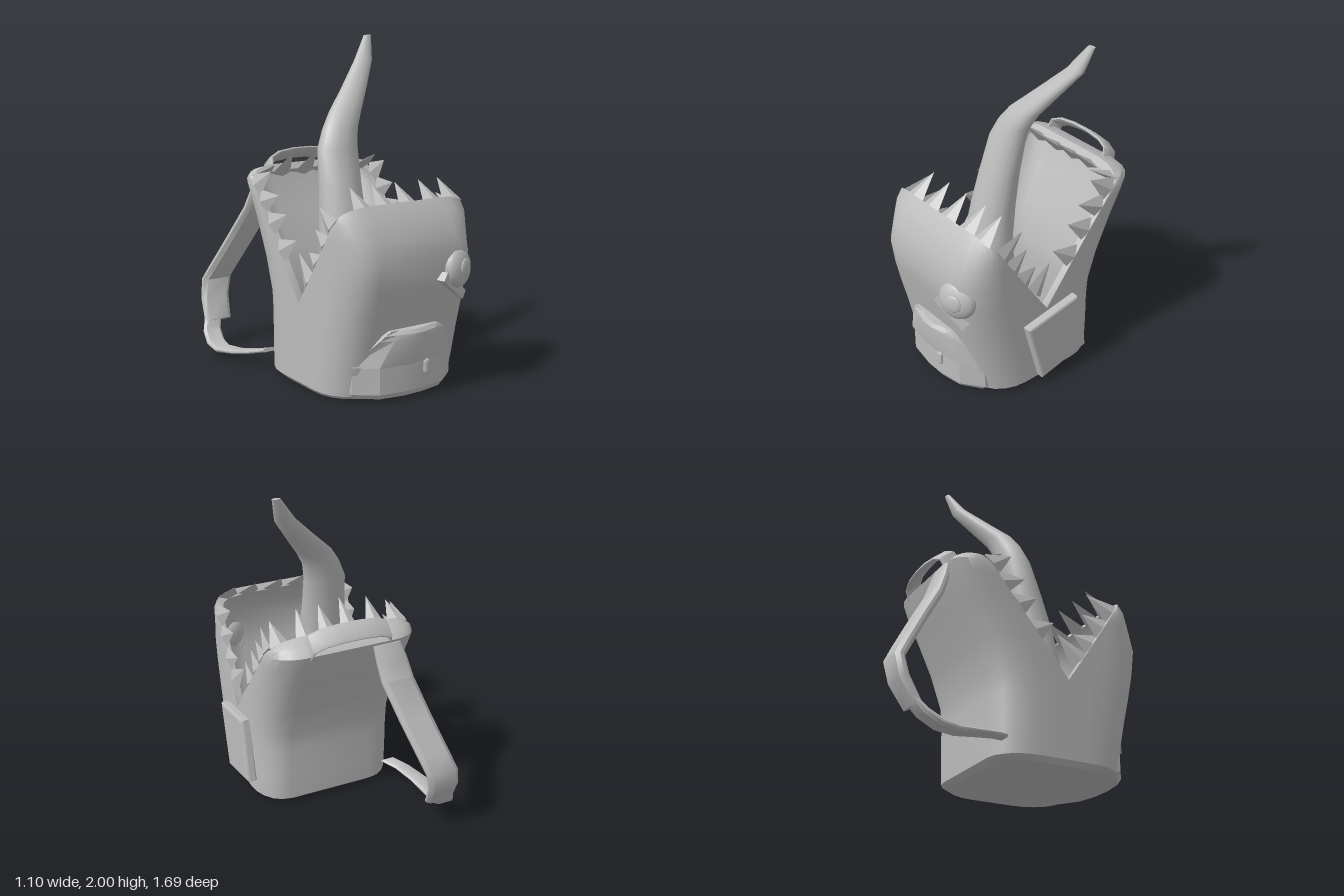
import * as THREE from 'three';
import { toCreasedNormals } from 'three/addons/utils/BufferGeometryUtils.js';

const V = (x, y, z) => new THREE.Vector3(x, y, z);
const CX = 0.05; // middle of the bag in x
const WALL = 0.045; // thickness of the bag

// Closed solid through rings of equal, even point count; ends closed by a zigzag strip.
function loft(rings, crease = 0.7) {
  const m = rings[0].length, pts = rings.flat(), idx = [];
  const quad = (a, b, c, d) => idx.push(a, b, c, a, c, d);
  for (let r = 0; r < rings.length - 1; r++)
    for (let i = 0; i < m; i++) {
      const j = (i + 1) % m;
      quad(r * m + i, r * m + j, (r + 1) * m + j, (r + 1) * m + i);
    }
  const e = (rings.length - 1) * m;
  for (let i = 0; i < m / 2 - 1; i++) {
    quad(m - 1 - i, m - 2 - i, i + 1, i);
    quad(e + i, e + i + 1, e + m - 2 - i, e + m - 1 - i);
  }
  // turn the faces outward
  let vol = 0;
  for (let i = 0; i < idx.length; i += 3)
    vol += pts[idx[i]].dot(pts[idx[i + 1]].clone().cross(pts[idx[i + 2]]));
  if (vol < 0) idx.reverse();
  const g = new THREE.BufferGeometry().setFromPoints(pts);
  g.setIndex(idx);
  return toCreasedNormals(g, crease);
}

// One level of a half shell: U-shaped wall from the split line (s) round the outer side (o).
function shellRing([sz, sy, oz, oy, hw]) {
  const path = (inset) => {
    const d = Math.hypot(oz - sz, oy - sy), w = Math.max(hw - inset, 0);
    const reach = d > 0 ? Math.max(1 - inset / d, 0.3) : 0;
    const rx = Math.min(0.18, w), rf = d > 0 ? Math.min(0.23 / d, 0.8) : 0;
    const half = [[w, 0], [w, (1 - rf) / 2]];
    for (let k = 0; k <= 5; k++) {
      const a = (k / 5) * Math.PI / 2;
      half.push([w - rx + rx * Math.cos(a), 1 - rf + rf * Math.sin(a)]);
    }
    const all = [...half, ...half.map(([x, f]) => [-x, f]).reverse()];
    return all.map(([x, f]) => {
      const y = sy + (oy - sy) * f * reach;
      return V(CX + x, inset ? Math.max(y, WALL) : y, sz + (oz - sz) * f * reach);
    });
  };
  return [...path(0), ...path(WALL).reverse()];
}

// Flat strap along points [x, y, z, width, thickness], widened along a fixed axis.
function strap(points, axis) {
  const p = points.map(([x, y, z]) => V(x, y, z));
  return loft(p.map((c, i) => {
    const t = p[Math.min(i + 1, p.length - 1)].clone().sub(p[Math.max(i - 1, 0)]);
    const n = t.cross(axis).normalize();
    const [, , , w, h] = points[i];
    // flattened six-sided section with thin edges
    return [[1, 0.3], [0.75, 1], [-0.75, 1], [-1, 0.3], [-1, -0.3], [-0.75, -1], [0.75, -1], [1, -0.3]].map(([a, b]) =>
      c.clone().addScaledVector(axis, a * w / 2).addScaledVector(n, b * h / 2));
  }));
}

export function createModel() {
  const model = new THREE.Group();
  const grey = new THREE.MeshStandardMaterial({ color: 0xbcbcbc });
  grey.name = 'plain grey';
  const add = (name, geo, parent = model) => {
    const mesh = new THREE.Mesh(geo, grey);
    mesh.name = name;
    parent.add(mesh);
    return mesh;
  };

  // Gaping bag: front jaw and back panel; levels are [split z, y, outer z, y, half width]
  const frontLevels = [
    [0.25, 0, 0.25, 0, 0], [0.25, 0, 0.6, 0, 0.42], [0.25, 0.03, 0.64, 0.03, 0.45],
    [0.25, 0.2, 0.68, 0.2, 0.45], [0.25, 0.36, 0.715, 0.36, 0.45], [0.25, 0.504, 0.75, 0.5, 0.45],
    [0.35, 0.65, 0.785, 0.66, 0.45], [0.45, 0.8, 0.805, 0.81, 0.45], [0.53, 0.92, 0.77, 0.93, 0.45],
    [0.58, 1.0, 0.72, 1.04, 0.45], [0.605, 1.035, 0.66, 1.114, 0.435]];
  const backLevels = [
    [0.25, 0, 0.25, 0, 0], [0.25, 0, -0.14, 0, 0.42], [0.25, 0.03, -0.175, 0.03, 0.45],
    [0.25, 0.2, -0.18, 0.2, 0.45], [0.25, 0.36, -0.18, 0.38, 0.45], [0.25, 0.504, -0.19, 0.5, 0.45],
    [0.08, 0.72, -0.26, 0.7, 0.45], [-0.08, 0.92, -0.365, 0.93, 0.45], [-0.19, 1.05, -0.43, 1.08, 0.45],
    [-0.24, 1.115, -0.455, 1.157, 0.45], [-0.265, 1.145, -0.41, 1.2, 0.44], [-0.27, 1.15, -0.32, 1.225, 0.42]];
  add('frontJaw', loft(frontLevels.map(shellRing)));
  add('backPanel', loft(backLevels.map(shellRing)));

  // Tongue: [x, y, z, radius x, radius z]
  const tongue = [
    [-0.02, 0.04, 0.25, 0.28, 0.165], [-0.03, 0.25, 0.25, 0.23, 0.16], [-0.05, 0.5, 0.25, 0.185, 0.15],
    [-0.06, 0.72, 0.235, 0.16, 0.14], [-0.055, 0.95, 0.195, 0.145, 0.125], [-0.045, 1.15, 0.155, 0.133, 0.11],
    [-0.03, 1.36, 0.105, 0.13, 0.09], [0.005, 1.47, 0.08, 0.115, 0.08], [0.06, 1.56, 0.05, 0.108, 0.067],
    [0.18, 1.7, -0.025, 0.085, 0.055], [0.305, 1.85, -0.11, 0.062, 0.038], [0.375, 2, -0.163, 0.025, 0.014]];
  add('tongue', loft(tongue.map(([x, y, z, a, b]) =>
    Array.from({ length: 16 }, (_, i) => {
      const t = (i / 16) * Math.PI * 2;
      return V(x + a * Math.cos(t), y, z + b * Math.sin(t));
    }))));

  // Teeth: four-sided spikes standing on the rim, wide along it
  const teeth = new THREE.Group();
  teeth.name = 'teeth';
  model.add(teeth);
  const spike = new THREE.ConeGeometry(0.5, 1, 4).toNonIndexed();
  spike.translate(0, 0.5, 0).computeVertexNormals();
  const tooth = (base, tip, along, width) => {
    const up = tip.clone().sub(base), len = up.length();
    up.normalize();
    const side = along.clone().addScaledVector(up, -along.dot(up)).normalize();
    const out = side.clone().cross(up);
    const g = spike.clone().applyMatrix4(new THREE.Matrix4().makeBasis(
      side.multiplyScalar(width), up.multiplyScalar(len), out.multiplyScalar(0.05)));
    add('tooth', g.translate(base.x, base.y, base.z), teeth);
  };
  const X = V(1, 0, 0);
  for (const x of [-0.22, -0.07, 0.09, 0.26, 0.4])
    tooth(V(x, 1.08, 0.645), V(x, 1.2, 0.5), X, 0.14);
  for (const [x, tipY, tipZ] of [[-0.32, 1.25, -0.13], [-0.18, 1.31, -0.15], [-0.02, 1.32, -0.12],
    [0.12, 1.31, -0.14], [0.26, 1.31, -0.14], [0.42, 1.26, -0.13]])
    tooth(V(x, 1.17, -0.29), V(x, tipY, tipZ), X, 0.13);
  // side teeth: [base z, y, tip z, y]
  const frontSide = [[0.57, 0.99, 0.41, 1.09], [0.5, 0.88, 0.375, 0.955], [0.42, 0.76, 0.31, 0.81], [0.34, 0.64, 0.2, 0.79]];
  const backSide = [[-0.24, 1.12, -0.1, 1.22], [-0.17, 1.03, -0.01, 1.09], [-0.07, 0.91, 0.07, 0.99], [0.04, 0.77, 0.18, 0.855]];
  for (const s of [1, -1]) {
    for (const [list, rim] of [[frontSide, V(0, 0.61, 0.4)], [backSide, V(0, 0.68, -0.54)]])
      for (const [bz, by, tz, ty] of list)
        tooth(V(CX + s * 0.43, by, bz), V(CX + s * 0.415, ty, tz), rim, 0.15);
  }

  // Single eye with raised pupil and a bar below it
  const eye = new THREE.Group();
  eye.name = 'eye';
  eye.position.set(0.338, 0.725, 0.775);
  eye.rotation.set(-0.1, 0.38, 0);
  model.add(eye);
  add('eyeball', new THREE.SphereGeometry(0.117, 24, 16).scale(1, 1, 0.5), eye);
  add('pupil', new THREE.SphereGeometry(0.052, 20, 12).scale(1, 1, 0.25), eye).position.z = 0.054;
  const lid = add('lowerLid', new THREE.BoxGeometry(0.24, 0.055, 0.07));
  lid.position.set(0.29, 0.625, 0.77);
  lid.rotation.set(0, 0.3, -0.63);

  // Front pocket: plan outlines stacked upward, [y, left x, right x, front z, end z]
  const plan = ([y, l, r, f, e]) => {
    const w = r - l;
    return [[l, 0.5], [l, e], [l + w * 0.18, f - 0.025], [l + w * 0.4, f],
      [r - w * 0.4, f], [r - w * 0.18, f - 0.025], [r, e], [r, 0.5]].map(([x, z]) => V(x, y, z));
  };
  add('frontPocket', loft([[0.02, -0.27, 0.37, 0.745, 0.64], [0.05, -0.3, 0.4, 0.76, 0.64],
    [0.21, -0.3, 0.4, 0.76, 0.645]].map(plan), 0.4));
  add('pocketFlap', loft([[0.21, -0.31, 0.405, 0.77, 0.65], [0.24, -0.29, 0.39, 0.775, 0.66],
    [0.36, -0.18, 0.29, 0.79, 0.735], [0.39, -0.15, 0.26, 0.79, 0.75], [0.412, -0.11, 0.22, 0.775, 0.75]].map(plan), 0.4));
  add('zipperPull', new THREE.CapsuleGeometry(0.022, 0.05, 4, 10).scale(1, 1, 0.6)).position.set(0.13, 0.175, 0.768);

  // Tilted side pocket
  const patch = new THREE.Shape([[-0.43, 0.45], [-0.05, 0.52], [0.03, 0.12], [-0.32, 0.04]]
    .map(([a, b]) => new THREE.Vector2(a, b)));
  add('sidePocket', new THREE.ExtrudeGeometry(patch, {
    depth: 0.035, bevelThickness: 0.015, bevelSize: 0.015, bevelOffset: -0.015, bevelSegments: 2,
  }).rotateY(Math.PI / 2)).position.x = 0.5;

  // Carry handle arching over the back panel
  const arch = [[-0.25, -0.02], [-0.235, 0.06], [-0.17, 0.095], [-0.06, 0.11],
    [0.06, 0.11], [0.17, 0.095], [0.235, 0.06], [0.25, -0.02]];
  add('carryHandle', strap(arch.map(([x, h]) =>
    [CX + x, 1.175 + h * 0.8, -0.405 - h * 0.36, 0.12, 0.025]), V(0, -0.62, -0.78).normalize()));

  // Shoulder strap: wide padded upper part and narrow lower webbing
  add('shoulderStrap', strap([
    [-0.17, 1.14, -0.45, 0.17, 0.03], [-0.19, 1.05, -0.475, 0.19, 0.055], [-0.21, 0.93, -0.52, 0.2, 0.06],
    [-0.27, 0.72, -0.645, 0.2, 0.06], [-0.335, 0.52, -0.76, 0.2, 0.06], [-0.365, 0.43, -0.81, 0.2, 0.06],
    [-0.39, 0.31, -0.79, 0.19, 0.06], [-0.41, 0.17, -0.715, 0.18, 0.045]], X));
  add('strapWebbing', strap([
    [-0.43, 0.2, -0.74, 0.12, 0.03], [-0.47, 0.12, -0.685, 0.12, 0.04], [-0.49, 0.065, -0.6, 0.12, 0.04],
    [-0.495, 0.048, -0.5, 0.11, 0.035], [-0.47, 0.065, -0.36, 0.1, 0.025], [-0.42, 0.09, -0.23, 0.09, 0.022],
    [-0.36, 0.11, -0.15, 0.09, 0.022]], X));

  return model;
}
